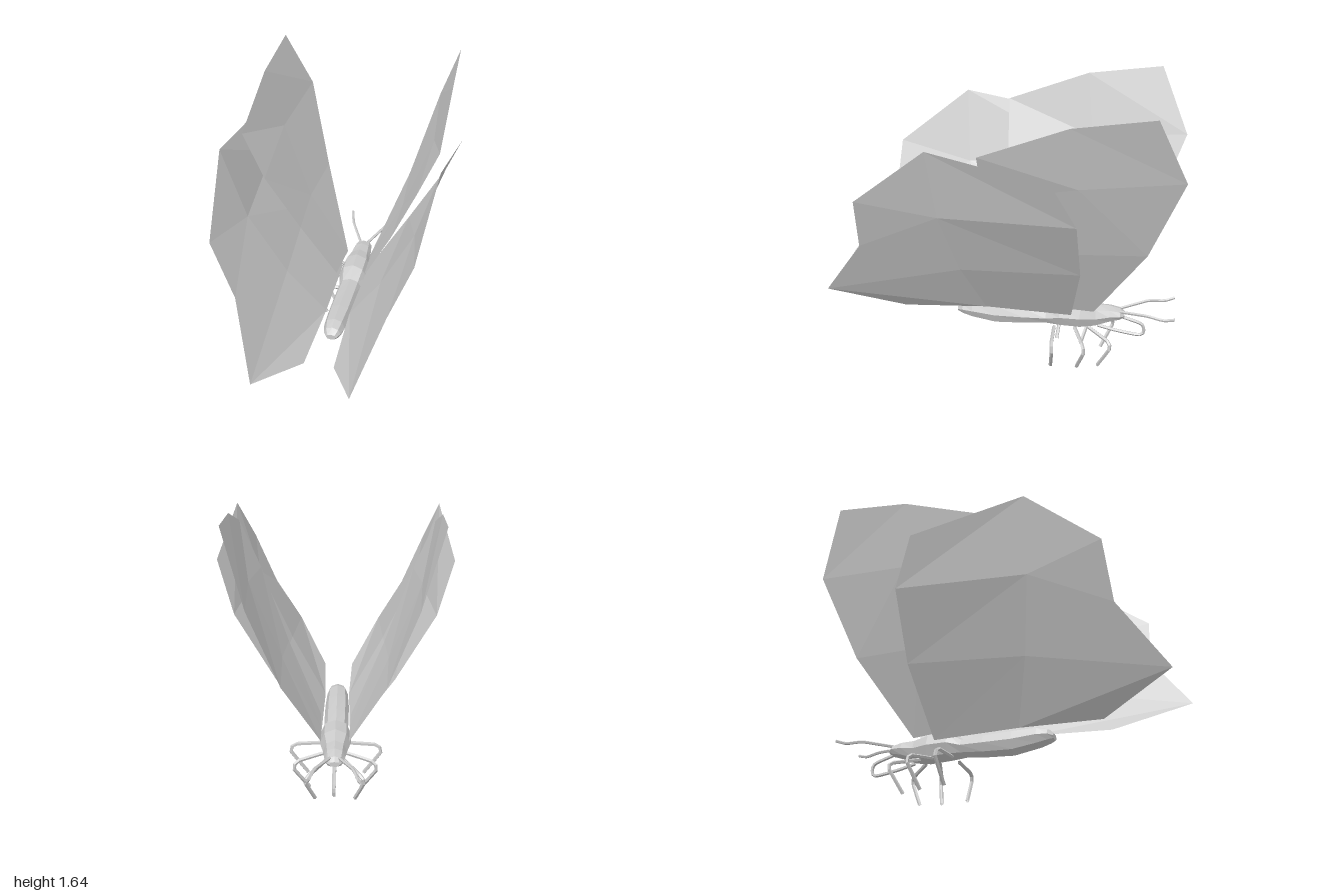
import * as THREE from 'three';

const mat = new THREE.MeshStandardMaterial({ color: 0xcccccc, flatShading: true, side: THREE.DoubleSide });

function addMesh(parent, geometry, name) {
  const mesh = new THREE.Mesh(geometry, mat);
  mesh.name = name;
  parent.add(mesh);
  return mesh;
}

// Wing sheet: rows run from root to tip, each from leading to trailing edge
function wingGeometry(rows, side) {
  const index = [];
  const cols = rows[0].length;
  for (let r = 0; r < rows.length - 1; r++) {
    for (let c = 0; c < cols - 1; c++) {
      const a = r * cols + c, b = a + 1, d = a + cols, e = d + 1;
      if (side > 0) index.push(a, b, e, a, e, d);
      else index.push(a, e, b, a, d, e);
    }
  }
  const points = rows.flat().flatMap(([x, y, z]) => [x * side, y, z]);
  const geo = new THREE.BufferGeometry();
  geo.setAttribute('position', new THREE.Float32BufferAttribute(points, 3));
  geo.setIndex(index);
  geo.computeVertexNormals();
  return geo;
}

// Thin jointed limb following a few points
function limbGeometry(points, side, radius, tension = 0.15) {
  const path = points.map(([x, y, z]) => new THREE.Vector3(x * side, y, z));
  const curve = new THREE.CatmullRomCurve3(path, false, 'catmullrom', tension);
  return new THREE.TubeGeometry(curve, (points.length - 1) * 4, radius, 5);
}

// Body: eight-sided loft through stations [z, top, bottom, half width]
function bodyGeometry(stations) {
  const n = stations.length - 1;
  const geo = new THREE.CylinderGeometry(1, 1, 1, 8, n);
  const p = geo.attributes.position;
  for (let i = 0; i < p.count; i++) {
    const [z, top, bottom, w] = stations[Math.round((0.5 - p.getY(i)) * n)];
    p.setXYZ(i, p.getX(i) * w, (top + bottom) / 2 - p.getZ(i) * (top - bottom) / 2, z);
  }
  geo.computeVertexNormals();
  return geo;
}

const bodyStations = [
  [0.28, 0.285, 0.25, 0.03],
  [0.25, 0.315, 0.235, 0.05],
  [0.19, 0.335, 0.215, 0.062],
  [0.05, 0.337, 0.19, 0.07],
  [-0.12, 0.33, 0.2, 0.07],
  [-0.25, 0.32, 0.215, 0.068],
  [-0.33, 0.37, 0.205, 0.085],
  [-0.45, 0.375, 0.2, 0.085],
  [-0.54, 0.355, 0.215, 0.066],
  [-0.62, 0.35, 0.25, 0.058],
  [-0.68, 0.335, 0.27, 0.05],
  [-0.705, 0.315, 0.285, 0.03],
];

const foreWing = [
  [[0.075, 0.34, -0.53], [0.08, 0.35, -0.38], [0.085, 0.36, -0.24]],
  [[0.265, 0.8, -0.82], [0.285, 0.79, -0.42], [0.27, 0.75, -0.1]],
  [[0.41, 1.28, -1], [0.45, 1.23, -0.45], [0.43, 1.14, 0.05]],
  [[0.535, 1.645, -0.84], [0.545, 1.585, -0.41], [0.545, 1.41, 0.06]],
];

const hindWing = [
  [[0.08, 0.31, -0.4], [0.07, 0.32, 0.1], [0.085, 0.3, 0.58]],
  [[0.32, 0.685, -0.465], [0.27, 0.645, 0.21], [0.26, 0.46, 0.995]],
  [[0.53, 1.05, -0.455], [0.46, 1.03, 0.29], [0.4, 0.81, 0.745]],
  [[0.625, 1.31, -0.33], [0.585, 1.44, 0.32], [0.525, 1.12, 0.725]],
];

// Legs: hip, upper knee, lower knee, foot
const legs = {
  front: [[0.04, 0.22, -0.5], [0.14, 0.185, -0.625], [0.16, 0.15, -0.635], [0.11, 0.01, -0.565]],
  middle: [[0.05, 0.215, -0.42], [0.21, 0.19, -0.48], [0.23, 0.15, -0.49], [0.145, 0.01, -0.445]],
  rear: [[0.05, 0.21, -0.3], [0.235, 0.2, -0.305], [0.255, 0.155, -0.31], [0.16, 0.015, -0.295]],
};

const antenna = [[0.025, 0.325, -0.68], [0.1, 0.35, -0.84], [0.125, 0.342, -0.93], [0.14, 0.36, -0.99]];

const proboscis = [
  [0, 0.285, -0.68], [0, 0.255, -0.78], [0, 0.235, -0.815],
  [0, 0.19, -0.82], [0, 0.172, -0.79], [0, 0.19, -0.66], [0, 0.215, -0.55],
];

export function createModel() {
  const model = new THREE.Group();
  model.name = 'butterfly';

  addMesh(model, bodyGeometry(bodyStations), 'body');
  addMesh(model, limbGeometry(proboscis, 1, 0.01, 0.4), 'proboscis');

  // Mirrored parts
  for (const [side, label] of [[1, 'left'], [-1, 'right']]) {
    const half = new THREE.Group();
    half.name = label + 'Side';
    addMesh(half, wingGeometry(foreWing, side), label + 'ForeWing');
    addMesh(half, wingGeometry(hindWing, side), label + 'HindWing');
    addMesh(half, limbGeometry(antenna, side, 0.009), label + 'Antenna');
    for (const [name, points] of Object.entries(legs)) {
      addMesh(half, limbGeometry(points, side, 0.011), `${label} ${name} leg`);
    }
    model.add(half);
  }
  return model;
}
